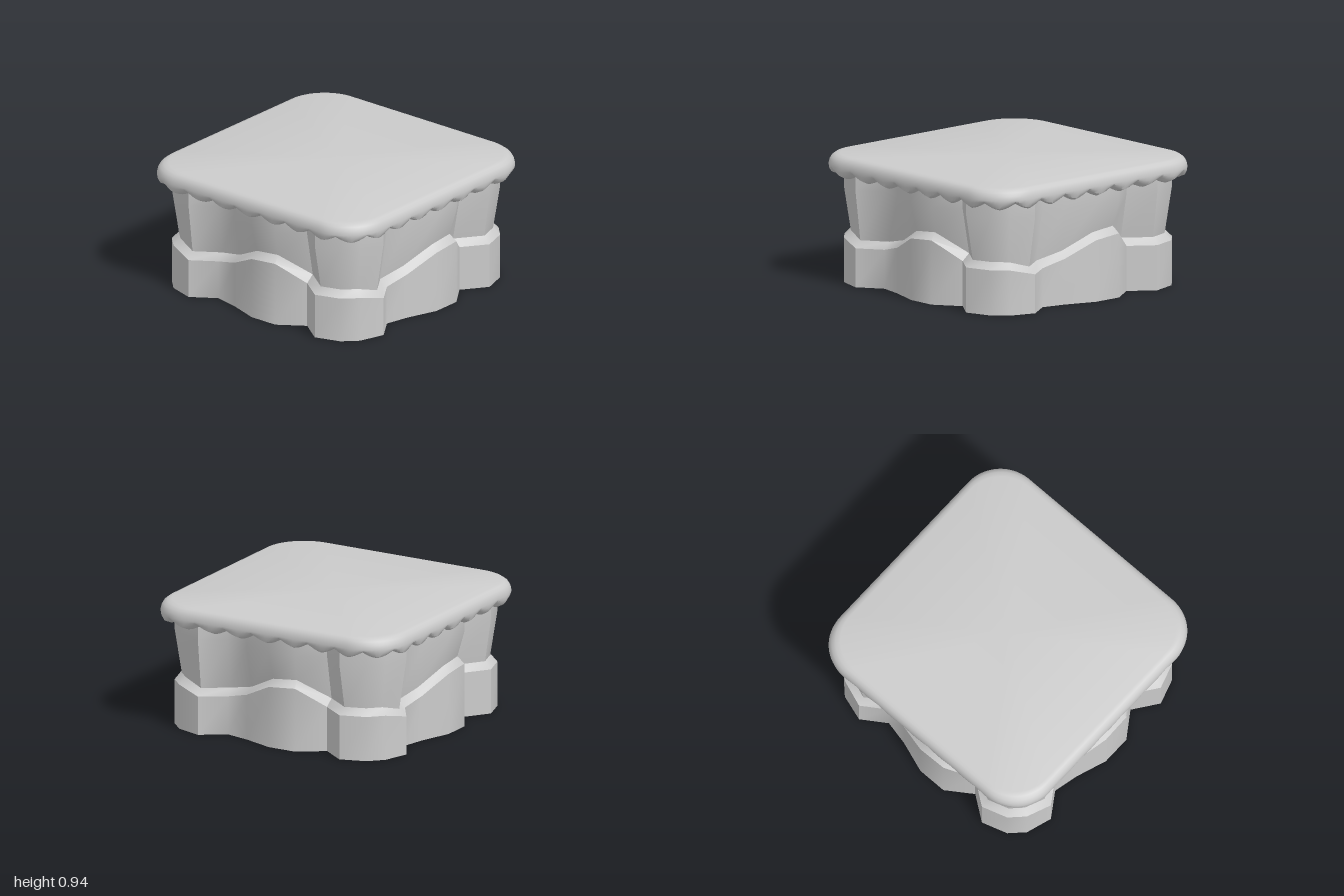
import * as THREE from 'three';
import { toCreasedNormals } from 'three/addons/utils/BufferGeometryUtils.js';

const material = new THREE.MeshStandardMaterial({ color: 0xcccccc, side: THREE.DoubleSide });

// Skin closed rings of [x, y, z] points, each joined to the next
function loft(rings, crease) {
  const n = rings[0].length;
  const index = [];
  for (let j = 0; j < rings.length - 1; j++) {
    for (let i = 0; i < n; i++) {
      const a = j * n + i, b = j * n + (i + 1) % n;
      index.push(a, b, b + n, a, b + n, a + n);
    }
  }
  const geometry = new THREE.BufferGeometry();
  geometry.setAttribute('position', new THREE.Float32BufferAttribute(rings.flat(2), 3));
  geometry.setIndex(index);
  return toCreasedNormals(geometry, crease);
}

function addMesh(group, name, geometry) {
  const mesh = new THREE.Mesh(geometry, material);
  mesh.name = name;
  group.add(mesh);
}

// Repeat one side's plan points around the four sides
function fourSides(side) {
  const all = [];
  for (let k = 0; k < 4; k++) {
    for (const [x, z, v] of side) {
      all.push([[x, z, v], [z, -x, v], [-x, -z, v], [-z, x, v]][k]);
    }
  }
  return all;
}

// Move a plan inward by d with mitred corners
function inset(plan, d) {
  const n = plan.length;
  const normal = (p, q) => new THREE.Vector2(p[1] - q[1], q[0] - p[0]).normalize();
  return plan.map((p, i) => {
    const a = normal(plan[(i + n - 1) % n], p), b = normal(p, plan[(i + 1) % n]);
    const m = a.clone().add(b).multiplyScalar(d / (1 + a.dot(b)));
    return [p[0] - m.x, p[1] - m.y, p[2]];
  });
}

export function createModel() {
  const group = new THREE.Group();
  group.name = 'cliffBlock';

  // Plan of one side: x, z and the height of the ledge
  const plan = fourSides([
    [-0.59, 0.94, 0.285], [-0.41, 0.82, 0.285], [-0.23, 0.86, 0.335],
    [0, 0.94, 0.45], [0.22, 0.94, 0.47], [0.41, 0.81, 0.33],
    [0.59, 0.94, 0.33], [0.78, 0.88, 0.33], [0.88, 0.78, 0.33],
  ]);
  const inner = inset(plan, 0.05);
  const ring = (points, height) => points.map(([x, z, v]) => [x, height(v), z]);
  const foot = ring(plan, () => 0);
  const ledgeOuter = ring(plan, v => v);
  const ledgeInner = ring(inner, v => v + 0.05);

  addMesh(group, 'base', loft([foot, ledgeOuter], 0.855));
  addMesh(group, 'ledge', loft([ledgeOuter, ledgeInner], 0.855));
  addMesh(group, 'upperWall', loft([ledgeInner, ring(plan, () => 0.71), ring(plan, () => 0.85)], 0.855));

  // Rounded square of the cap, eight scallops to a side; t runs -1..1 over a scallop
  const r = 0.31, flat = 1 - r, petals = 8, steps = 8;
  const half = flat + r * Math.PI / 4;
  const capSide = [];
  for (let i = 0; i < petals * steps; i++) {
    const s = (i / (petals * steps) * 2 - 1) * half;
    const angle = Math.max(0, Math.abs(s) - flat) / r;
    const x = Math.sign(s) * (Math.min(Math.abs(s), flat) + r * Math.sin(angle));
    const t = ((i + steps / 2) % steps) / steps * 2 - 1;
    capSide.push([x, flat + r * Math.cos(angle), Math.abs(t) ** 1.5]);
  }
  const outline = fourSides(capSide);
  const capRing = (scale, height) =>
    outline.map(([x, z, v]) => [x * scale, height(v), z * scale]);

  // Underside, scalloped lip, rounded rim and flat top
  addMesh(group, 'scallopedCap', loft([
    capRing(0, () => 0.86),
    capRing(0.66, () => 0.86),
    capRing(0.8, v => 0.815 + 0.035 * v),
    capRing(0.9, v => 0.79 + 0.05 * v),
    capRing(0.95, v => 0.78 + 0.045 * v),
    capRing(0.985, v => 0.797 + 0.043 * v),
    capRing(0.998, v => 0.83 + 0.02 * v),
    capRing(1, () => 0.86),
    capRing(0.995, () => 0.89),
    capRing(0.983, () => 0.915),
    capRing(0.962, () => 0.933),
    capRing(0.935, () => 0.94),
    capRing(0, () => 0.94),
  ], 0.7));

  return group;
}
